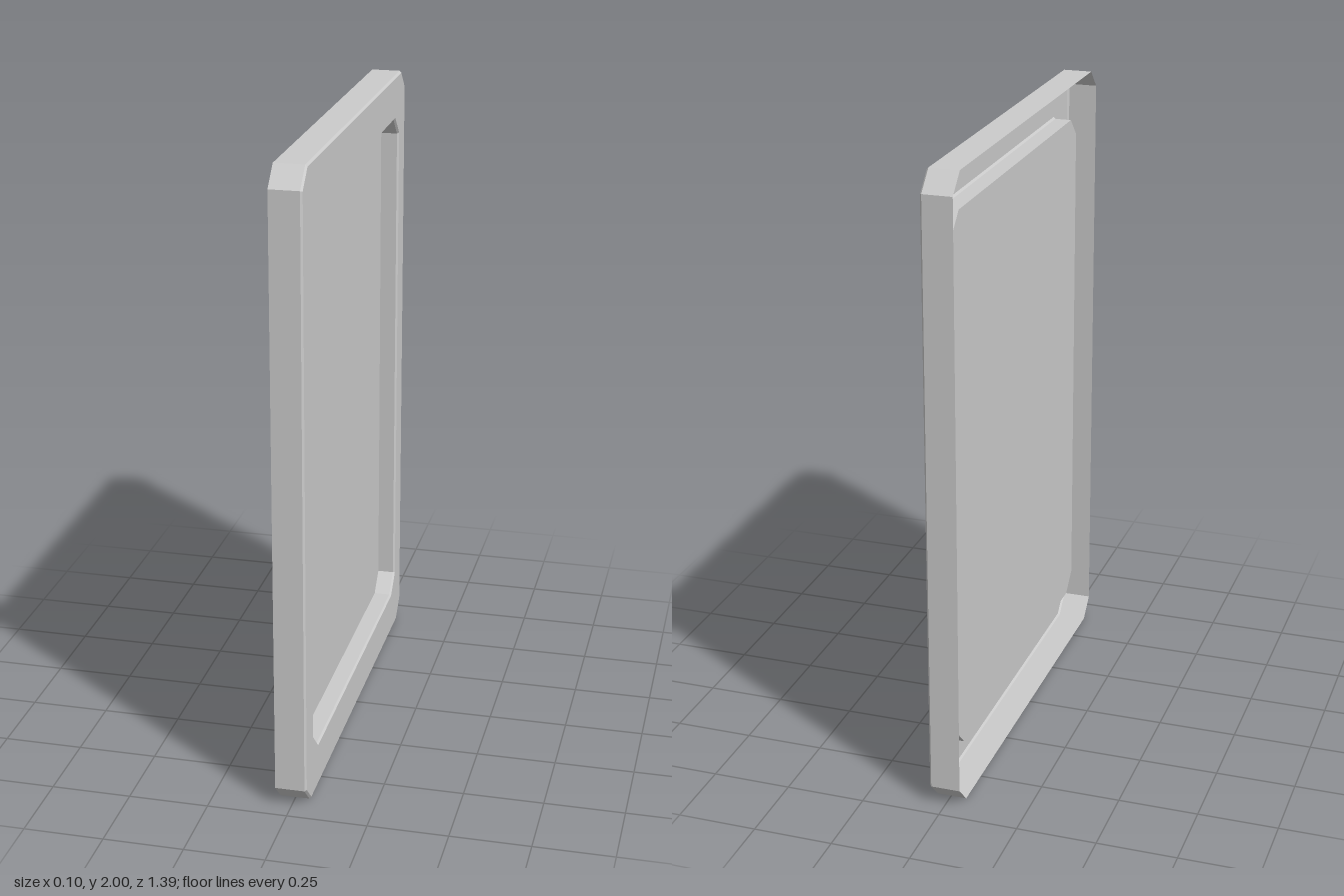
import * as THREE from 'three';

const material = new THREE.MeshStandardMaterial({ color: 0xcccccc, flatShading: true, side: THREE.DoubleSide });

// Rectangle with cut corners in the z-y plane at depth x, centred on y = 1
function ring(x, halfZ, halfY, cut) {
  const a = halfZ - cut, b = halfY - cut;
  return [
    [-halfZ, b], [-a, halfY], [a, halfY], [halfZ, b],
    [halfZ, -b], [a, -halfY], [-a, -halfY], [-halfZ, -b],
  ].map(([z, y]) => new THREE.Vector3(x, y + 1, z));
}

// Joins successive rings with flat bands; optionally closes the last ring
function sheet(name, rings, capped = false) {
  const points = [];
  for (let r = 0; r < rings.length - 1; r++) {
    const p = rings[r], q = rings[r + 1];
    for (let i = 0; i < 8; i++) {
      const j = (i + 1) % 8;
      points.push(p[i], p[j], q[j], p[i], q[j], q[i]);
    }
  }
  if (capped) {
    const c = rings[rings.length - 1];
    for (let i = 1; i < 7; i++) points.push(c[0], c[i], c[i + 1]);
  }
  const geometry = new THREE.BufferGeometry().setFromPoints(points);
  geometry.computeVertexNormals();
  const mesh = new THREE.Mesh(geometry, material);
  mesh.name = name;
  return mesh;
}

export function createModel() {
  const group = new THREE.Group();
  group.name = 'recessedPanel';

  const front = 0.049, bevel = 0.006;
  const outer = ring(front - bevel, 0.697, 1, 0.06);
  const outerLip = ring(front, 0.697 - bevel, 1 - bevel, 0.0565);
  const innerLip = ring(front, 0.602 + bevel, 0.858 + bevel, 0.0635);
  const inner = ring(front - bevel, 0.602, 0.858, 0.06);

  // Outer wall, open at the back, with a small bevel at the front edge
  group.add(sheet('outerWall', [ring(-front, 0.697, 1, 0.06), outer, outerLip]));
  // Flat border around the recess
  group.add(sheet('frontBorder', [outerLip, innerLip]));
  // Recessed tray with a bevelled lip, projecting into the hollow back
  group.add(sheet('recessedTray', [innerLip, inner, ring(-0.01, 0.602, 0.858, 0.06)], true));

  return group;
}
